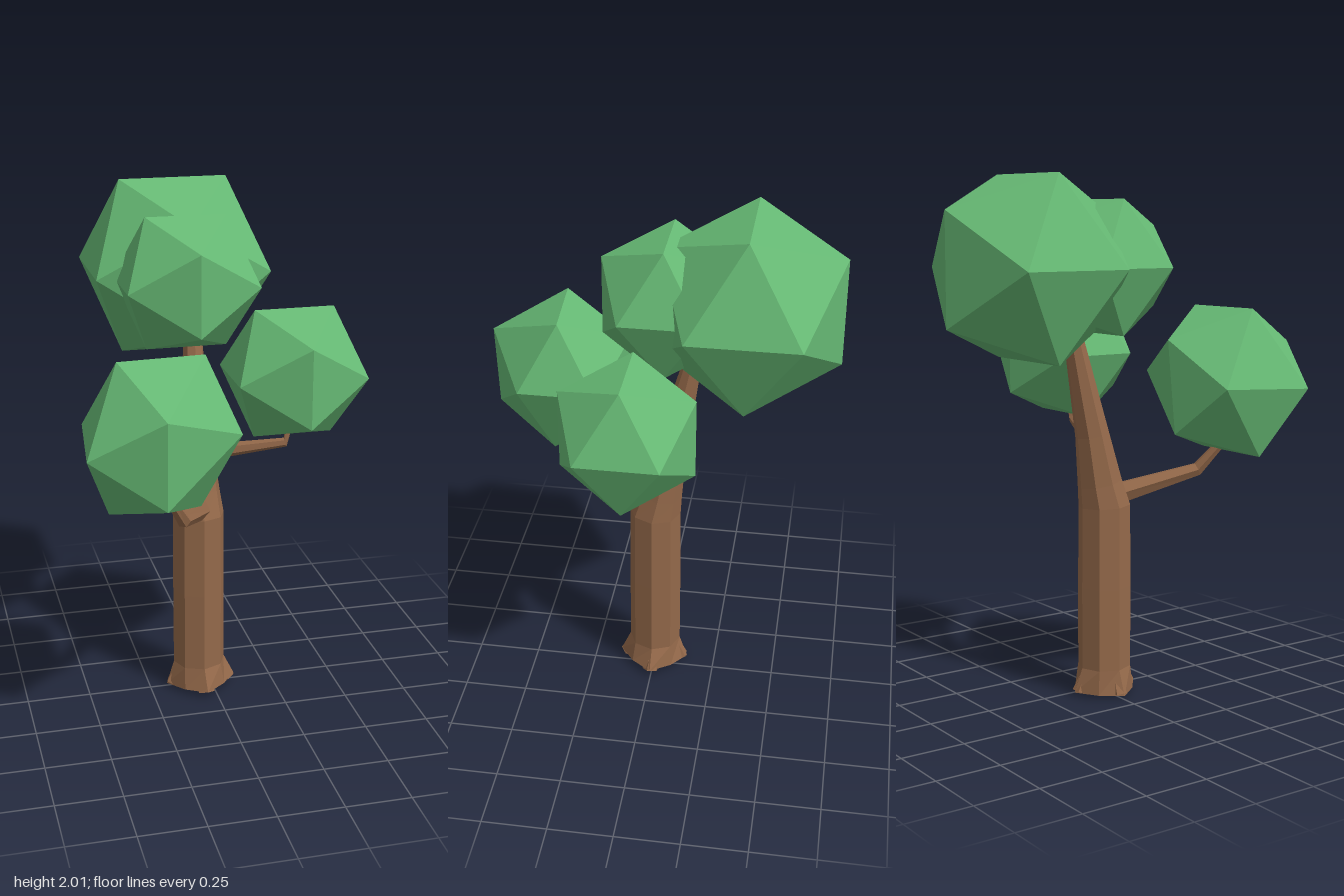
import * as THREE from 'three';
import { ConvexGeometry } from 'three/addons/geometries/ConvexGeometry.js';

const bark = new THREE.MeshStandardMaterial({ color: 0x94694a, flatShading: true });
const leaf = new THREE.MeshStandardMaterial({ color: 0x66b974, flatShading: true });

// Faceted limb through rings of [x, y, z, radius, radius of every other corner]
function limb(name, rings, sides) {
  const up = new THREE.Vector3(0, 1, 0);
  const centres = rings.map(([x, y, z]) => new THREE.Vector3(x, y, z));
  const pos = [], index = [];
  rings.forEach(([, , , r, r2 = r], i) => {
    const dir = centres[Math.min(i + 1, rings.length - 1)].clone()
      .sub(centres[Math.max(i - 1, 0)]).normalize();
    const turn = new THREE.Quaternion().setFromUnitVectors(up, dir);
    for (let k = 0; k < sides; k++) {
      const a = (k / sides) * Math.PI * 2, rad = k % 2 ? r2 : r;
      const p = new THREE.Vector3(Math.sin(a) * rad, 0, Math.cos(a) * rad);
      pos.push(...p.applyQuaternion(turn).add(centres[i]).toArray());
    }
  });
  for (let i = 0; i < rings.length - 1; i++) {
    for (let k = 0; k < sides; k++) {
      const a = i * sides + k, b = i * sides + (k + 1) % sides;
      index.push(a, b, b + sides, a, b + sides, a + sides);
    }
  }
  // End caps
  const last = rings.length - 1, c0 = pos.length / 3;
  pos.push(...centres[0].toArray(), ...centres[last].toArray());
  for (let k = 0; k < sides; k++) {
    const n = (k + 1) % sides;
    index.push(c0, n, k, c0 + 1, last * sides + k, last * sides + n);
  }
  const geo = new THREE.BufferGeometry();
  geo.setAttribute('position', new THREE.Float32BufferAttribute(pos, 3));
  geo.setIndex(index);
  const flat = geo.toNonIndexed();
  flat.computeVertexNormals();
  const mesh = new THREE.Mesh(flat, bark);
  mesh.name = name;
  return mesh;
}

function foliage(name, geometry, x = 0, y = 0, z = 0) {
  const mesh = new THREE.Mesh(geometry, leaf);
  mesh.name = name;
  mesh.position.set(x, y, z);
  return mesh;
}

export function createModel() {
  const tree = new THREE.Group();
  tree.name = 'tree';

  // Upright trunk with flared roots, leaning back above the first branch
  tree.add(limb('trunk', [
    [-0.043, 0.01, 0.003, 0.14, 0.115],
    [-0.048, 0.10, 0, 0.104],
    [-0.048, 0.42, 0, 0.104],
    [-0.048, 0.74, 0, 0.102],
    [-0.046, 0.83, -0.02, 0.088],
    [-0.045, 1.02, -0.055, 0.067],
    [-0.036, 1.42, -0.14, 0.036],
    [-0.036, 1.55, -0.17, 0.03],
  ], 8));

  // Root tips around the foot
  for (let i = 0; i < 4; i++) {
    const a = i * Math.PI / 2;
    const s = Math.sin(a), c = Math.cos(a);
    tree.add(limb('rootTip', [
      [-0.043 + s * 0.11, 0.003, 0.003 + c * 0.11, 0.034],
      [-0.046 + s * 0.075, 0.09, c * 0.075, 0.02],
    ], 5));
  }

  // Side branches
  tree.add(limb('frontBranch', [
    [-0.05, 0.775, 0.04, 0.046],
    [-0.185, 0.865, 0.35, 0.027],
    [-0.25, 0.98, 0.425, 0.018],
  ], 6));
  tree.add(limb('leftBranch', [
    [-0.04, 0.975, -0.04, 0.034],
    [0.28, 1.035, 0.075, 0.018],
    [0.295, 1.10, 0.07, 0.014],
  ], 6));

  // Regular leaf crowns
  tree.add(foliage('topCrown', new THREE.IcosahedronGeometry(0.401), -0.065, 1.66, -0.353));
  tree.add(foliage('middleCrown', new THREE.IcosahedronGeometry(0.295), -0.082, 1.66, -0.045));
  tree.add(foliage('leftCrown', new THREE.IcosahedronGeometry(0.295), 0.315, 1.31, 0.05));

  // Slightly uneven crown on the front branch
  const corners = [
    [-0.433, 1.505, 0.41], [-0.112, 1.505, 0.39],
    [-0.473, 0.945, 0.42], [-0.135, 0.945, 0.42],
    [-0.312, 1.365, 0.692], [-0.312, 1.04, 0.68],
    [-0.275, 1.39, 0.132], [-0.315, 1.035, 0.137],
    [-0.57, 1.205, 0.572], [-0.53, 1.22, 0.21],
    [-0.012, 1.248, 0.534], [-0.012, 1.248, 0.23],
  ].map((p) => new THREE.Vector3(...p));
  tree.add(foliage('frontCrown', new ConvexGeometry(corners)));

  return tree;
}
